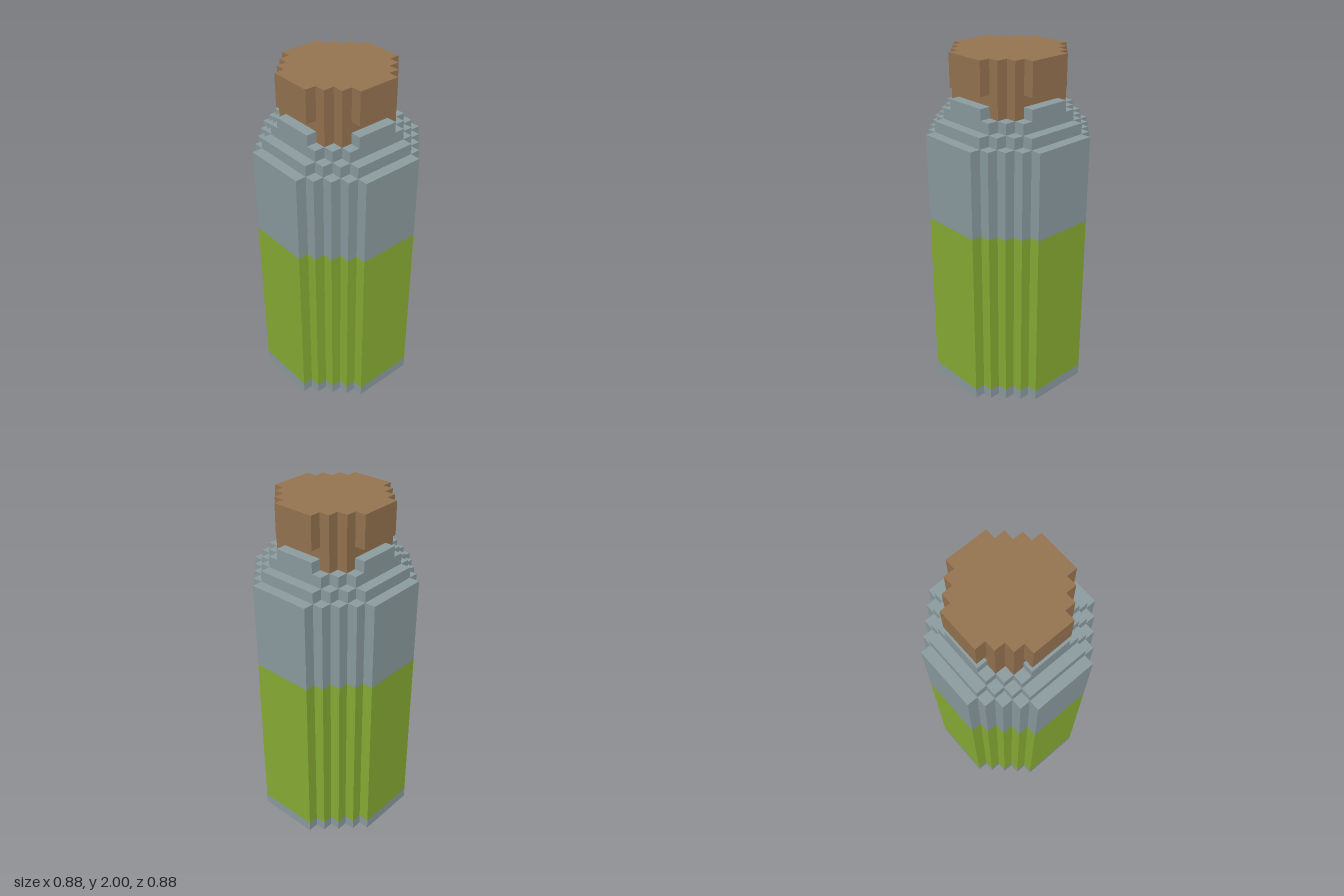
import * as THREE from 'three';

const U = 1 / 16; // one block unit

// Stepped round outline from the half extents [x, z] of its corners in one quadrant
function steppedShape(corners) {
  const quadrant = [];
  corners.forEach(([x, z], i) => {
    if (i > 0) quadrant.push([x, corners[i - 1][1]]);
    quadrant.push([x, z]);
  });
  const points = [];
  for (let q = 0; q < 4; q++) {
    for (const [x, z] of quadrant) {
      const [px, pz] = [[x, z], [-z, x], [-x, -z], [z, -x]][q];
      points.push(new THREE.Vector2(px * U, pz * U));
    }
  }
  return new THREE.Shape(points);
}

export function createModel() {
  const group = new THREE.Group();
  const material = (name, color) => {
    const m = new THREE.MeshStandardMaterial({ color });
    m.name = name;
    return m;
  };
  const glass = material('grey glass', 0x8d9da1);
  const liquid = material('green liquid', 0x89ae34);
  const cork = material('brown cork', 0x977551);

  // Outlines from wide to narrow
  const bodyOutline = [[7, 3], [6, 4], [5, 5], [4, 6], [3, 7]];
  const shoulderOutline = [[6, 3], [5, 4], [4, 5], [3, 6]];
  const collarOutline = [[5, 3], [4, 4], [3, 5]];
  const corkTopOutline = [[5, 2], [4, 3], [3, 4], [2, 5]];
  const corkNeckOutline = [[4, 3], [3, 4]];

  // Stacked layers: name, outline, bottom, top, material
  const layers = [
    ['bottleBase', bodyOutline, 0, 1, glass],
    ['liquidBand', bodyOutline, 1, 17, liquid],
    ['upperBody', bodyOutline, 17, 25, glass],
    ['shoulder', shoulderOutline, 25, 26, glass],
    ['collar', collarOutline, 26, 27, glass],
    ['corkNeck', corkNeckOutline, 27, 29, cork],
    ['corkTop', corkTopOutline, 29, 32, cork],
  ];
  for (const [name, outline, bottom, top, mat] of layers) {
    const geometry = new THREE.ExtrudeGeometry(steppedShape(outline), {
      depth: (top - bottom) * U,
      bevelEnabled: false,
    });
    geometry.rotateX(-Math.PI / 2);
    const mesh = new THREE.Mesh(geometry, mat);
    mesh.name = name;
    mesh.position.y = bottom * U;
    group.add(mesh);
  }

  // Four lip bars around the cork neck
  const lip = new THREE.Group();
  lip.name = 'lip';
  const barGeometry = new THREE.BoxGeometry(4 * U, U, U);
  for (let i = 0; i < 4; i++) {
    const angle = (i * Math.PI) / 2;
    const bar = new THREE.Mesh(barGeometry, glass);
    bar.name = 'lipBar';
    bar.rotation.y = angle;
    bar.position.set(Math.sin(angle) * 4.5 * U, 27.5 * U, Math.cos(angle) * 4.5 * U);
    lip.add(bar);
  }
  group.add(lip);

  return group;
}
